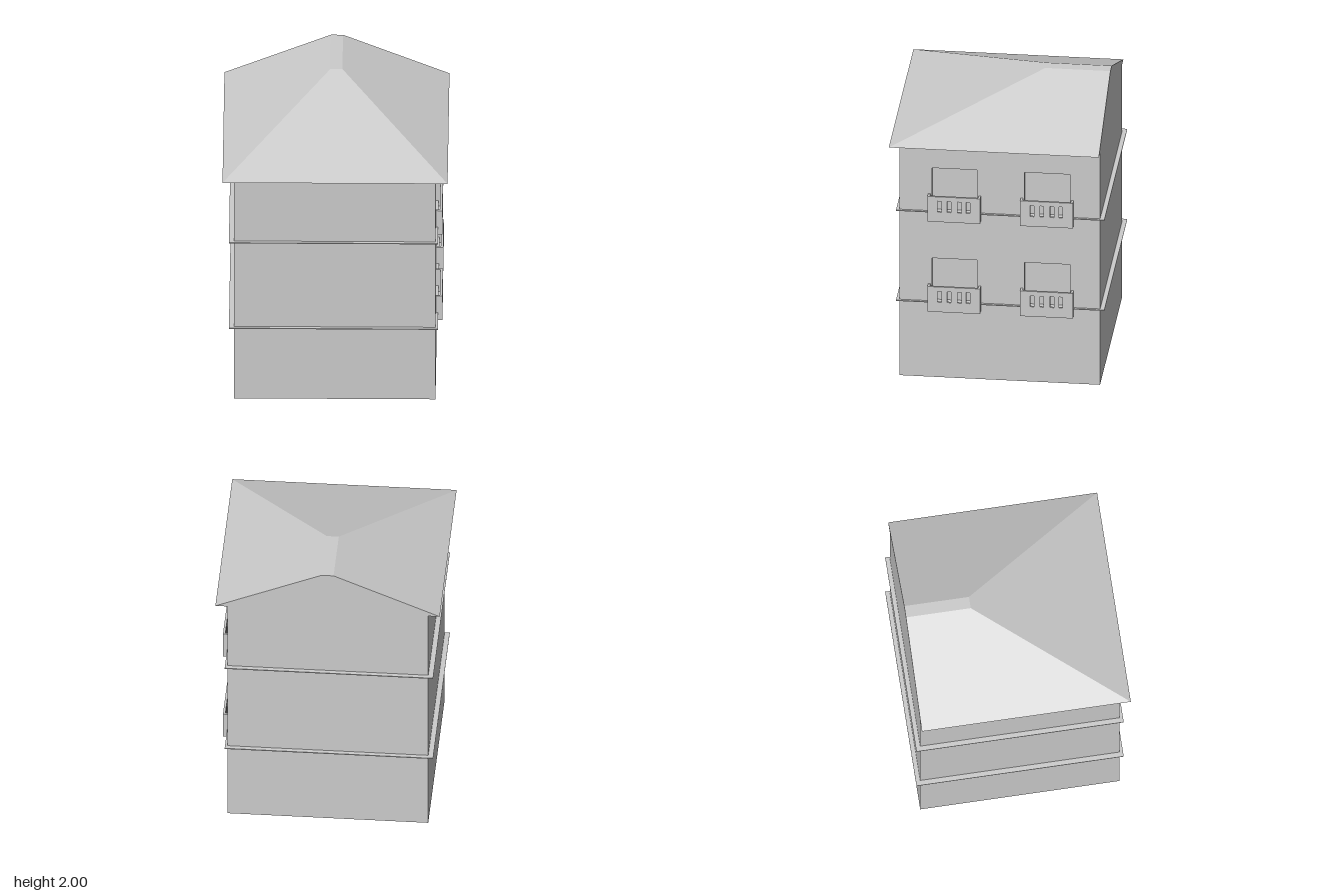
import * as THREE from 'three';
import { ConvexGeometry } from 'three/addons/geometries/ConvexGeometry.js';

const grey = new THREE.MeshStandardMaterial({ color: 0xcccccc, flatShading: true });

const LEFT = 0.662, RIGHT = -0.666, FRONT = 0.648, BACK = -0.682;
const EAVES = 1.706, TOP = 2, RECESS = 0.028;
const floors = [0.498, 1.159];      // underside of the balconies
const columns = [0.284, -0.331];    // z centres of the balconies

function add(parent, name, geometry) {
  const mesh = new THREE.Mesh(geometry, grey);
  mesh.name = name;
  parent.add(mesh);
  return mesh;
}

// Box given by its lower and upper limits on each axis
function box(parent, name, [x0, x1], [y0, y1], [z0, z1]) {
  const mesh = add(parent, name, new THREE.BoxGeometry(x1 - x0, y1 - y0, z1 - z0));
  mesh.position.set((x0 + x1) / 2, (y0 + y1) / 2, (z0 + z1) / 2);
  return mesh;
}

function outline(target, u0, u1, v0, v1) {
  target.moveTo(u0, v0).lineTo(u1, v0).lineTo(u1, v1).lineTo(u0, v1).closePath();
  return target;
}

// Upright panel facing +x with rectangular openings; u runs along -z
function panel(parent, name, rect, openings, depth, x) {
  const shape = outline(new THREE.Shape(), ...rect);
  for (const o of openings) shape.holes.push(outline(new THREE.Path(), ...o));
  const geometry = new THREE.ExtrudeGeometry(shape, { depth, bevelEnabled: false });
  geometry.rotateY(Math.PI / 2);
  const mesh = add(parent, name, geometry);
  mesh.position.x = x;
  return mesh;
}

function createBalcony() {
  const balcony = new THREE.Group();
  balcony.name = 'balcony';
  const w = 0.175, h = 0.184, d = 0.044, t = 0.015;
  const slots = [-0.095, -0.031, 0.037, 0.095].map(u => [u - 0.013, u + 0.013, 0.072, 0.152]);
  panel(balcony, 'balconyFront', [-w, w, 0, h], slots, t, d - t);
  box(balcony, 'balconyFloor', [0, d - t], [0, t], [-w, w]);
  for (const s of [-1, 1]) {
    box(balcony, 'balconySide', [0, d - t], [t, h], s < 0 ? [-w, t - w] : [w - t, w]);
  }
  return balcony;
}

export function createModel() {
  const house = new THREE.Group();
  house.name = 'house';

  // Main block, with the balcony wall as a pierced layer for the door recesses
  box(house, 'walls', [RIGHT, LEFT - RECESS], [0, EAVES], [BACK, FRONT]);
  const doors = [];
  for (const y of floors) {
    for (const z of columns) doors.push([-z - 0.15, -z + 0.15, y + 0.02, y + 0.373]);
  }
  panel(house, 'balconyWall', [-FRONT, -BACK, 0, EAVES], doors, RECESS, LEFT - RECESS);

  // Thin ledges at each storey
  for (const y of floors) {
    box(house, 'storeyLedge', [-0.70, 0.678], [y + 0.053, y + 0.059], [-0.712, 0.67]);
  }

  // Balconies on the left side
  for (const y of floors) {
    for (const z of columns) {
      const balcony = createBalcony();
      balcony.position.set(LEFT, y, z);
      house.add(balcony);
    }
  }

  // Roof: hipped at the front, upright gable at the back
  const roofPoints = [];
  for (const s of [-1, 1]) {
    roofPoints.push(
      new THREE.Vector3(s * 0.742, EAVES, 0.711),
      new THREE.Vector3(s * 0.742, EAVES, BACK),
      new THREE.Vector3(s * 0.04, TOP, -0.25),
      new THREE.Vector3(s * 0.04, TOP, BACK)
    );
  }
  add(house, 'roof', new ConvexGeometry(roofPoints));

  return house;
}
